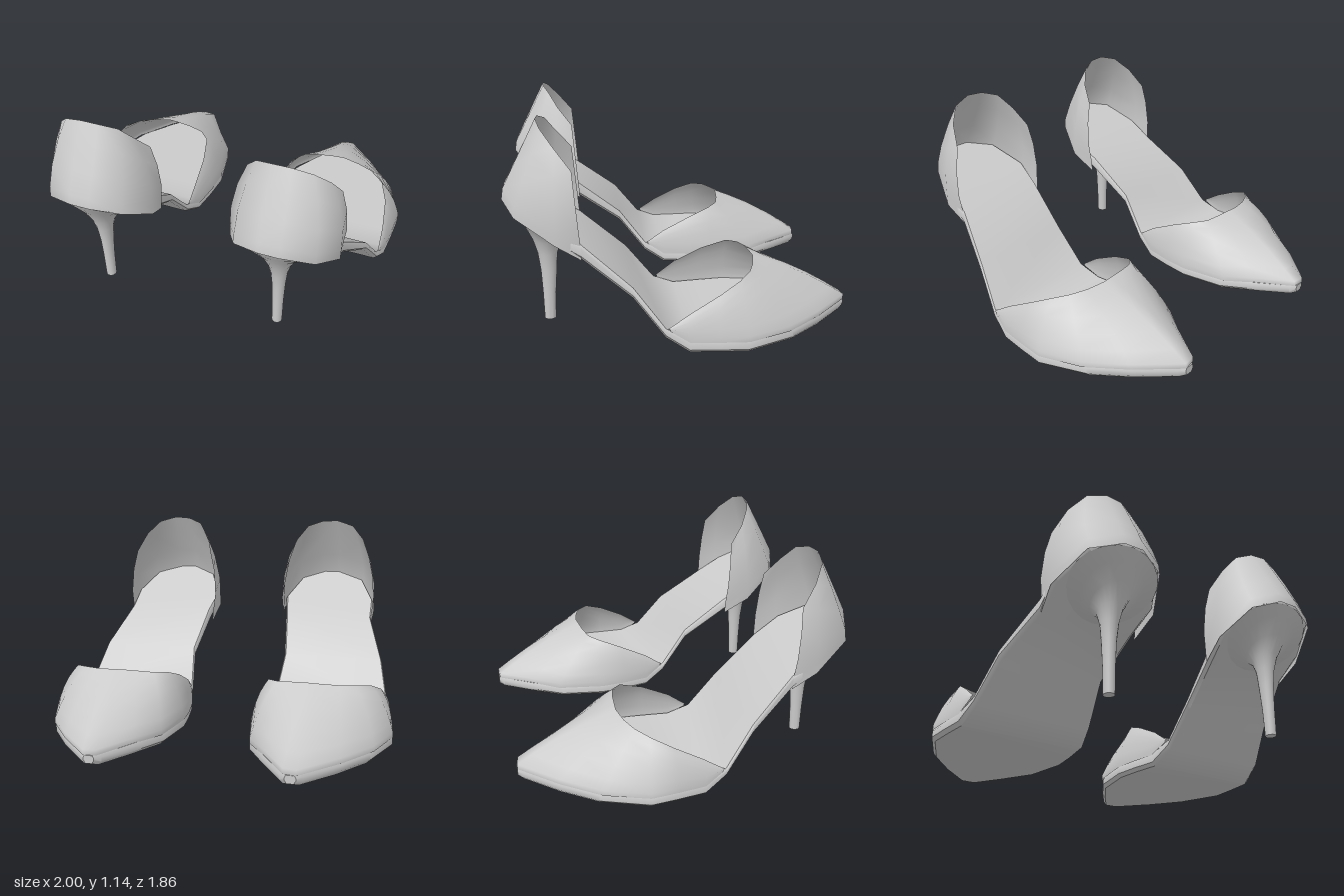
import * as THREE from 'three';
import { toCreasedNormals } from 'three/addons/utils/BufferGeometryUtils.js';

const material = new THREE.MeshStandardMaterial({ color: 0xcccccc });
const sheetMaterial = new THREE.MeshStandardMaterial({ color: 0xcccccc, side: THREE.DoubleSide });

// Skin a list of rows of [x, y, z]; side = -1 mirrors it to the other foot.
function loft(rows, side, closed) {
  const n = rows[0].length;
  const index = [];
  for (let i = 0; i < rows.length - 1; i++) {
    for (let j = 0; j < (closed ? n : n - 1); j++) {
      const k = (j + 1) % n;
      const a = i * n + j, b = i * n + k, c = a + n, d = b + n;
      if (side > 0) index.push(a, c, b, b, c, d);
      else index.push(a, b, c, b, d, c);
    }
  }
  const geometry = new THREE.BufferGeometry();
  const points = rows.flat().flatMap(([x, y, z]) => [x * side, y, z]);
  geometry.setAttribute('position', new THREE.Float32BufferAttribute(points, 3));
  geometry.setIndex(index);
  geometry.computeVertexNormals();
  return geometry;
}

// A row of one repeated point at the middle of another row, closing an end.
function cap(row) {
  const mid = [0, 1, 2].map((k) => row.reduce((s, p) => s + p[k], 0) / row.length);
  return row.map(() => mid);
}

function named(name, geometry, mat = material) {
  const mesh = new THREE.Mesh(geometry, mat);
  mesh.name = name;
  return mesh;
}

const lerp = THREE.MathUtils.lerp;

// Sole stations: z, inner x, outer x, top y, bottom y
const soleStations = [
  [-0.93, 0.5, 0.56, 0.06, 0.015], [-0.9, 0.47, 0.59, 0.06, 0], [-0.73, 0.355, 0.755, 0.062, 0],
  [-0.55, 0.245, 0.895, 0.065, 0], [-0.3, 0.2, 1, 0.068, 0], [-0.15, 0.215, 0.99, 0.07, 0],
  [0, 0.24, 0.975, 0.075, 0], [0.12, 0.267, 0.95, 0.13, 0.075], [0.28, 0.295, 0.9, 0.34, 0.28],
  [0.53, 0.26, 0.81, 0.545, 0.465], [0.68, 0.235, 0.81, 0.63, 0.565],
  [0.85, 0.315, 0.73, 0.73, 0.675], [0.92, 0.46, 0.57, 0.77, 0.72],
];

// Toe upper: [base x, z] paired with the throat edge [x, y, z]
const vamp = [
  [0.265, 0.1, 0.268, 0.13, 0.11], [0.235, 0, 0.262, 0.21, 0], [0.21, -0.15, 0.268, 0.29, -0.16],
  [0.2, -0.3, 0.3, 0.345, -0.3], [0.25, -0.57, 0.36, 0.355, -0.355], [0.36, -0.72, 0.45, 0.363, -0.375],
  [0.49, -0.92, 0.54, 0.367, -0.385], [0.56, -0.93, 0.6, 0.367, -0.39], [0.755, -0.73, 0.7, 0.36, -0.37],
  [0.91, -0.53, 0.79, 0.355, -0.335], [1, -0.3, 0.87, 0.34, -0.27], [0.99, -0.15, 0.92, 0.29, -0.16],
  [0.975, 0, 0.943, 0.21, -0.01], [0.955, 0.1, 0.948, 0.13, 0.11],
];

// Heel cup: bottom edge [x, y, z] paired with the top edge [x, y, z]
const cup = [
  [0.8, 0.46, 0.53, 0.78, 0.92, 0.565], [0.82, 0.55, 0.66, 0.735, 1.03, 0.65],
  [0.735, 0.675, 0.86, 0.66, 1.11, 0.715], [0.57, 0.725, 0.93, 0.555, 1.14, 0.74],
  [0.46, 0.725, 0.93, 0.46, 1.135, 0.735], [0.31, 0.675, 0.86, 0.37, 1.105, 0.7],
  [0.225, 0.55, 0.68, 0.305, 1.02, 0.645], [0.245, 0.46, 0.53, 0.265, 0.92, 0.565],
];

// Heel rings: y, z centre, x radius, z radius, slope towards the back
const heelRings = [
  [0.02, 0.71, 0.029, 0.031, 0], [0.17, 0.709, 0.031, 0.035, 0], [0.3, 0.707, 0.036, 0.043, 0],
  [0.4, 0.71, 0.046, 0.053, 0.05], [0.47, 0.712, 0.064, 0.075, 0.2], [0.53, 0.717, 0.1, 0.115, 0.42],
  [0.57, 0.725, 0.165, 0.165, 0.57], [0.6, 0.73, 0.25, 0.195, 0.64],
];

function createShoe(side) {
  const shoe = new THREE.Group();

  // Sole with a bevelled lower edge
  const soleRows = soleStations.map(([z, l, r, top, bottom]) => {
    const b = Math.min(0.02, (r - l) * 0.2);
    return [[l + 0.008, top, z], [r - 0.008, top, z], [r, top - 0.015, z], [r, bottom + 0.02, z],
      [r - b, bottom, z], [l + b, bottom, z], [l, bottom + 0.02, z], [l, top - 0.015, z]];
  });
  const soleSkin = loft([cap(soleRows[0]), ...soleRows, cap(soleRows[soleRows.length - 1])], side, true);
  shoe.add(named('sole', toCreasedNormals(soleSkin, 0.7)));

  // Pointed toe upper, slightly domed between sole and throat
  const vampRows = [-1, 0, 0.15, 0.35, 0.6, 0.82, 1].map((t) => vamp.map(([bx, bz, x, y, z]) => {
    const seam = bz > 0.05 ? 0.12 : 0.06;
    if (t < 0) return [bx, seam, bz];
    const low = Math.min(seam + 0.03, y);
    const dome = Math.sin(Math.PI * t) * (y - low) / 0.28;
    const px = lerp(bx, x, t);
    return [px + (px - 0.58) * 0.03 * dome, lerp(low, y, t) + 0.025 * dome, lerp(bz, z, t)];
  }));
  shoe.add(named('toeUpper', loft(vampRows, side, false), sheetMaterial));

  // Heel cup: short upright band at the seat, then leaning in to the top edge
  const cupRows = [0, 0.05, 0.35, 0.7, 1].map((t) => cup.map(([bx, by, bz, x, y, z]) => {
    if (t === 0) return [bx, by, bz];
    return [lerp(bx, x, t) + (bx - 0.52) * 0.1 * Math.sin(Math.PI * t), lerp(by + 0.04, y, t), lerp(bz, z, t)];
  }));
  shoe.add(named('heelCup', loft(cupRows, side, false), sheetMaterial));

  // Stiletto heel flaring into the sloping seat
  const segments = 20;
  const heelRows = heelRings.map(([y, zc, rx, rz, slope]) => Array.from({ length: segments }, (_, j) => {
    const a = (j / segments) * Math.PI * 2;
    const dz = Math.sin(a) * rz;
    return [0.515 + Math.cos(a) * rx, y + slope * dz, zc + dz];
  }));
  const heelSkin = loft([cap(heelRows[0]), ...heelRows], side, true);
  shoe.add(named('heel', toCreasedNormals(heelSkin, 0.9)));
  return shoe;
}

export function createModel() {
  const model = new THREE.Group();
  model.name = 'pairOfShoes';
  for (const side of [1, -1]) {
    const shoe = createShoe(side);
    shoe.name = side > 0 ? 'leftShoe' : 'rightShoe';
    model.add(shoe);
  }
  return model;
}
